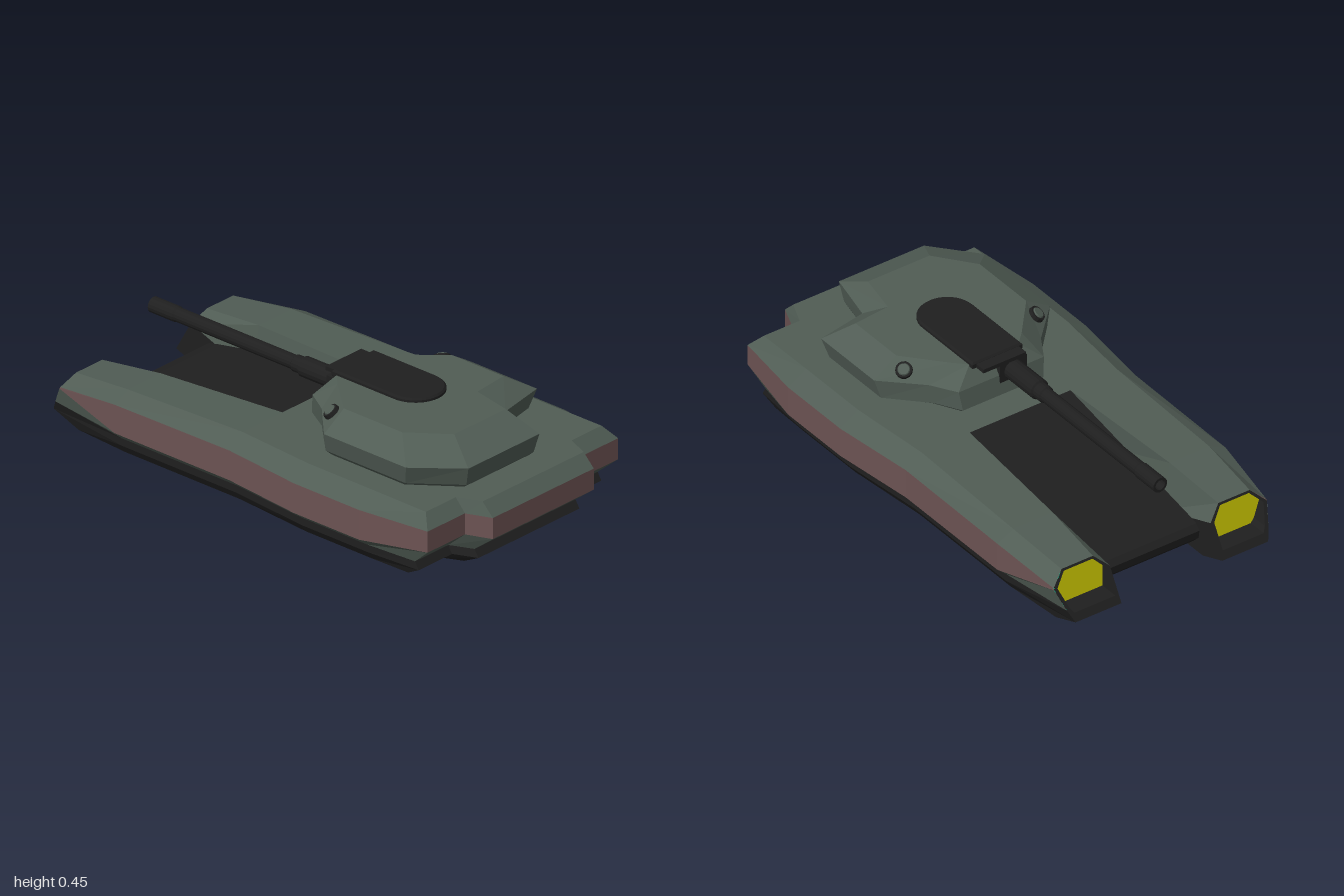
import * as THREE from 'three';

const mat = (name, color) => {
  const m = new THREE.MeshStandardMaterial({ color, flatShading: true, side: THREE.DoubleSide });
  m.name = name;
  return m;
};

// Flat-faced mesh from a list of convex polygons (counter-clockwise from outside)
function faceMesh(name, polygons, material) {
  const pos = [];
  for (const p of polygons)
    for (let i = 1; i < p.length - 1; i++) pos.push(...p[0], ...p[i], ...p[i + 1]);
  const g = new THREE.BufferGeometry();
  g.setAttribute('position', new THREE.Float32BufferAttribute(pos, 3));
  g.computeVertexNormals();
  const mesh = new THREE.Mesh(g, material);
  mesh.name = name;
  return mesh;
}

const flip = ([x, y, z]) => [-x, y, z];
const withMirror = (polys) => [...polys, ...polys.map((p) => p.map(flip).reverse())];

// Quads between two rows of points, closed or open
function strip(low, high, closed = false) {
  const out = [];
  const n = low.length;
  for (let i = 0; i < (closed ? n : n - 1); i++) {
    const j = (i + 1) % n;
    out.push([low[i], low[j], high[j], high[i]]);
  }
  return out;
}

// Upward-facing quads between an inner and an outer row, front to back
const topStrip = (inner, outer) => strip(inner, outer).map(([a, b, c, d]) => [a, d, c, b]);
const across = (row) => topStrip(row.map(flip), row);

export function createModel() {
  const root = new THREE.Group();
  root.name = 'hoverTank';
  const green = mat('armourGreen', 0x505c54);
  const red = mat('bandRed', 0x6c5353);
  const dark = mat('darkMetal', 0x1f1f1f);
  const yellow = mat('engineYellow', 0xd6d200);
  const teal = mat('undersideTeal', 0x00cc99);
  const add = (...m) => root.add(...m);

  // Hull half-outline, front to back: x, z, side inset, front inset, then
  // heights of band bottom, band top and deck
  const columns = [
    [0.27, 1.0, 0, 1, 0.135, 0.22, 0.27],
    [0.31, 0.9, 0, 0.9, 0.135, 0.22, 0.27],
    [0.51, 0.9, 0.5, 0.9, 0.135, 0.22, 0.27],
    [0.548, 0.6, 1, 0, 0.1, 0.22, 0.27],
    [0.548, 0.28, 1, 0, 0.1, 0.22, 0.27],
    [0.51, -0.07, 0.9, 0, 0.1, 0.22, 0.268],
    [0.51, -0.63, 0.9, 0, 0.1, 0.215, 0.25],
  ];
  // side inset, front inset and height (4 to 6: height taken from the column)
  const levels = [[0.068, 0.14, 0], [0.043, 0.07, 0.035], [0.043, 0.09, 0.065],
    [0, 0, 4], [0, 0, 5], [0.08, 0.05, 6]];
  const slopeZ = (y) => -0.9 - (0.22 - y) * 0.571;
  const tail = [[0.43, 0, -0.88], [0.43, 0.045, slopeZ(0.045)], [0.45, 0.09, slopeZ(0.09)],
    [0.475, 0.165, slopeZ(0.165)], [0.475, 0.172, slopeZ(0.172)], [0.42, 0.22, -0.9]];
  const half = levels.map(([sx, sz, y], l) => [
    ...columns.map((c) => [c[0] - sx * c[2], y >= 1 ? c[y] : y, c[1] - sz * c[3]]), tail[l]]);
  const rows = half.map((h) => [...h.map(flip).reverse(), ...h]);
  add(
    faceMesh('lowerSkirt', [...strip(rows[0], rows[1]), ...strip(rows[1], rows[2])], dark),
    faceMesh('lowerHull', strip(rows[2], rows[3]), green),
    faceMesh('sideBand', strip(rows[3], rows[4]), red),
    faceMesh('upperHull', strip(rows[4], rows[5]), green),
  );

  // Deck in front of the recess
  add(faceMesh('hullTop', across(half[5].slice(0, 6)), green));

  // Underside, stopping short between the pods
  const keel = [[0.225, 0, -0.07], [0.225, 0, -0.63], [0.225, 0, -0.88]];
  const floor = [
    ...across(half[0].slice(0, 6)),
    ...across([keel[0], [0.225, 0, -0.76]]),
    ...withMirror(topStrip(keel, half[0].slice(5))),
  ];
  add(faceMesh('underside', floor.map((p) => [...p].reverse()), teal));

  // Rear pods: tops and inner walls
  const podInner = [[0.225, 0.268, -0.07], [0.262, 0.25, -0.63], [0.28, 0.22, -0.9]];
  add(faceMesh('podTops', withMirror(topStrip(podInner, half[5].slice(5))), green));
  const wallMid = [[0.225, 0.06, -0.07], [0.225, 0.06, -0.63], [0.225, 0.17, slopeZ(0.17)]];
  const wallLow = [[0.225, 0, -0.07], [0.225, 0, -0.63], [0.225, 0.045, -1]];
  const inward = (a, b) => withMirror(strip([...a].reverse(), [...b].reverse()));
  add(faceMesh('podInnerWalls', inward(wallMid, podInner), green));
  add(faceMesh('podInnerSkirt', inward(wallLow, wallMid), dark));
  add(faceMesh('podUndersides', withMirror([
    [[0.225, 0.045, -1], tail[1], [0.43, 0, -0.88], keel[2]],
    [keel[1], [0.225, 0.045, -1], keel[2]],
  ]), dark));

  // Exhausts: sloping rim, recessed walls and glowing back plate
  const onSlope = ([x, y]) => [x, y, slopeZ(y)];
  const rim = [[0.28, 0.22], [0.42, 0.22], [0.475, 0.168], [0.45, 0.09], [0.43, 0.045],
    [0.225, 0.045], [0.225, 0.17]].map(onSlope);
  const mouth = [[0.285, 0.212], [0.413, 0.212], [0.46, 0.167], [0.436, 0.095], [0.422, 0.075],
    [0.24, 0.075], [0.24, 0.168]].map(onSlope);
  const deep = mouth.map(([x, y]) => [x, y, -0.904]);
  add(faceMesh('exhaustRims', withMirror([...strip(rim, mouth, true), ...strip(mouth, deep, true)]), dark));
  add(faceMesh('exhaustGlow', withMirror([deep]), yellow));

  // Sloping dark rear deck with a rounded end curling under
  const deckLine = [[0.268, -0.07], [0.13, -0.8], [0.12, -0.84], [0.098, -0.86], [0.065, -0.855],
    [0.03, -0.82], [0, -0.76]].map(([y, z]) => [0.225, y, z]);
  add(faceMesh('rearDeck', across(deckLine), dark));

  // Turret with a notched corner and a chamfered foot
  const mid = [[-0.396, 0.29], [-0.396, 0.69], [-0.25, 0.862], [0.13, 0.862], [0.18, 0.65], [0.393, 0.61],
    [0.393, 0.285], [0.25, 0.145], [0.19, 0.045], [-0.19, 0.045], [-0.25, 0.145]];
  const top = [[-0.29, 0.29], [-0.29, 0.575], [-0.175, 0.725], [0.1, 0.725], [0.135, 0.555], [0.29, 0.54],
    [0.29, 0.29], [0.16, 0.14], [0.11, 0.09], [-0.11, 0.09], [-0.16, 0.14]];
  const ring = (pts, y, sx, front, back) =>
    pts.map(([x, z]) => [x * sx, y, z > 0.4 ? z - front : z - back]);
  const rings = [ring(mid, 0.271, 0.91, 0.04, -0.01), ring(mid, 0.287, 0.945, 0.022, 0.012),
    ring(mid, 0.365, 1, 0, 0), ring(top, 0.43, 1, 0, 0)];
  const turretFaces = rings.slice(1).flatMap((r, i) => strip(rings[i], r, true));
  const roof = rings[3].map((p, i) => [p, rings[3][(i + 1) % top.length], [0, 0.43, 0.4]]);
  add(faceMesh('turret', [...turretFaces, ...roof], green));

  // Rounded roof panel
  const s = new THREE.Shape();
  s.moveTo(-0.105, 0.075);
  s.lineTo(0.105, 0.075);
  s.lineTo(0.105, 0.375);
  s.absarc(0, 0.375, 0.105, 0, Math.PI, false);
  s.closePath();
  const panelGeo = new THREE.ExtrudeGeometry(s, { depth: 0.016, bevelSize: 0.007, bevelThickness: 0.007, bevelSegments: 1, curveSegments: 10 });
  panelGeo.rotateX(Math.PI / 2);
  const panel = new THREE.Mesh(panelGeo, dark);
  panel.name = 'roofPanel';
  panel.position.y = 0.439;
  add(panel);

  // Mantlet pieces
  const box = (name, w, h, d, x, y, z) => {
    const m = new THREE.Mesh(new THREE.BoxGeometry(w, h, d), dark);
    m.name = name;
    m.position.set(x, y, z);
    add(m);
  };
  box('mantletCap', 0.19, 0.016, 0.07, 0, 0.43, 0.058);
  box('mantlet', 0.12, 0.08, 0.08, -0.05, 0.373, 0.08);

  // Stepped gun barrel with an open muzzle, pointing to the rear
  const profile = [[0.04, -0.06], [0.04, 0.12], [0.033, 0.125], [0.033, 0.16], [0.028, 0.165], [0.028, 0.735],
    [0.031, 0.745], [0.031, 0.86], [0.021, 0.86], [0.021, 0.8], [0, 0.8]];
  const gun = new THREE.Mesh(
    new THREE.LatheGeometry(profile.map(([r, y]) => new THREE.Vector2(r, y)), 16), dark);
  gun.name = 'gunBarrel';
  gun.rotation.x = -Math.PI / 2;
  gun.position.set(-0.05, 0.372, 0);
  add(gun);

  // Round sensors lying nearly flush on the turret shoulders
  for (const side of [1, -1]) {
    const sensor = new THREE.Group();
    sensor.name = side > 0 ? 'leftSensor' : 'rightSensor';
    const housing = new THREE.Mesh(new THREE.CylinderGeometry(0.031, 0.034, 0.024, 14), dark);
    housing.name = 'sensorHousing';
    const lens = new THREE.Mesh(new THREE.CylinderGeometry(0.02, 0.024, 0.006, 14), green);
    lens.name = 'sensorLens';
    lens.position.y = 0.014;
    sensor.add(housing, lens);
    sensor.position.set(side * 0.295, 0.398, 0.236);
    sensor.quaternion.setFromUnitVectors(new THREE.Vector3(0, 1, 0),
      new THREE.Vector3(side * 0.45, 0.76, -0.46).normalize());
    add(sensor);
  }
  return root;
}
